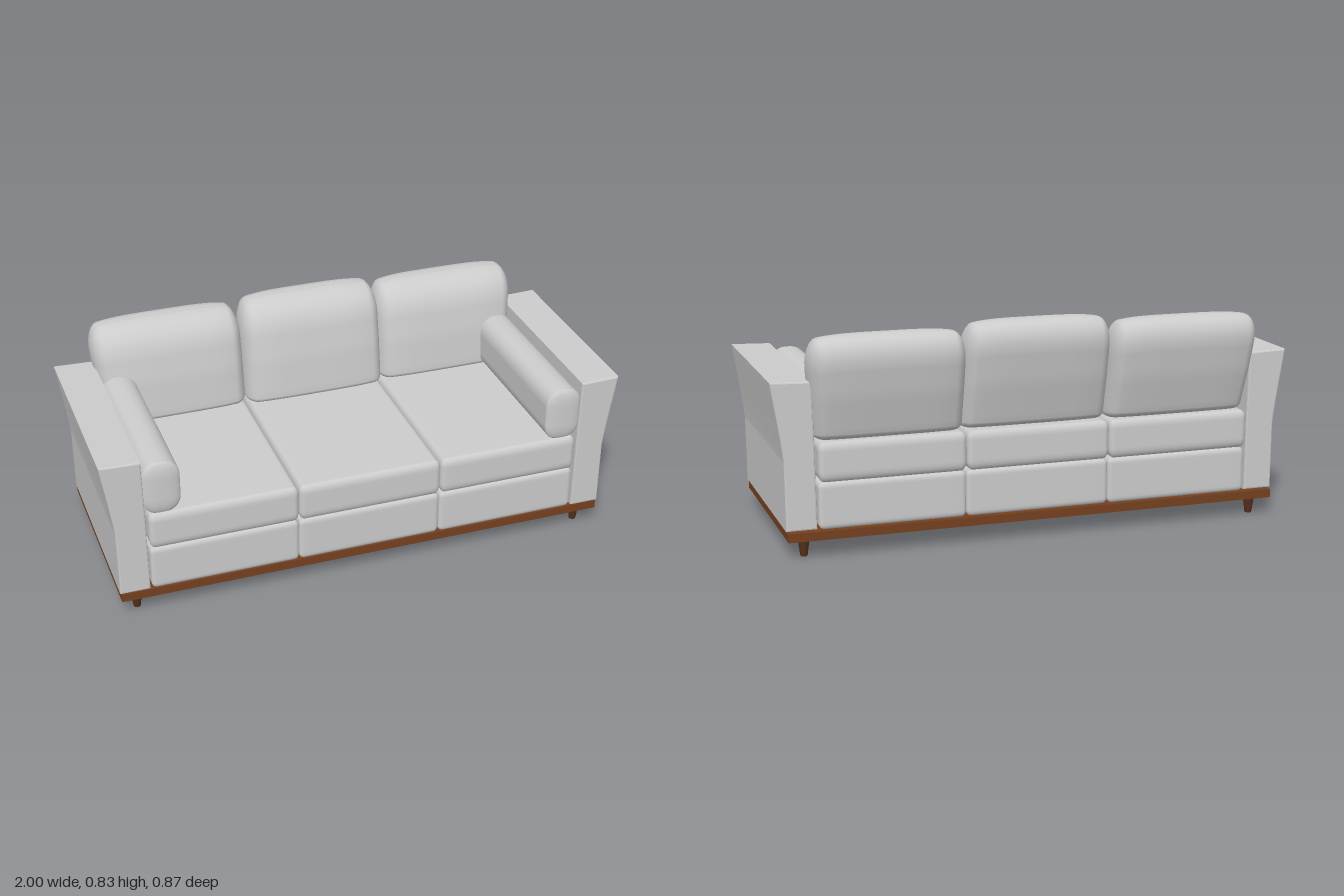
import * as THREE from 'three';
import { mergeVertices } from 'three/addons/utils/BufferGeometryUtils.js';

const fabric = new THREE.MeshStandardMaterial({ color: 0xcccccc });
const wood = new THREE.MeshStandardMaterial({ color: 0x74401f });
const darkWood = new THREE.MeshStandardMaterial({ color: 0x55301a });

// Soft box with elliptical edge radii r = [x, bottom y, top y, z]; shape(v) may bend it further.
function cushion(name, w, h, d, r, shape) {
  const n = 20;
  const geo = new THREE.BoxGeometry(2, 2, 2, n, n, n);
  geo.deleteAttribute('uv');
  geo.deleteAttribute('normal');
  const pos = geo.attributes.position;
  const half = [w / 2, h / 2, d / 2];
  const v = new THREE.Vector3();
  for (let i = 0; i < pos.count; i++) {
    v.fromBufferAttribute(pos, i);
    const radius = [r[0], v.y < 0 ? r[1] : r[2], r[3]];
    const out = new THREE.Vector3();
    const core = new THREE.Vector3();
    for (let k = 0; k < 3; k++) {
      // outer 30% of the grid on each side forms the rounded edge
      const c = v.getComponent(k), a = Math.abs(c), s = Math.sign(c);
      const inner = half[k] - radius[k];
      core.setComponent(k, s * inner * Math.min(a / 0.7, 1));
      out.setComponent(k, s * Math.tan(Math.max(a - 0.7, 0) / 0.3 * Math.PI / 4));
    }
    out.normalize();
    v.set(core.x + out.x * radius[0], core.y + out.y * radius[1], core.z + out.z * radius[2]);
    if (shape) shape(v);
    pos.setXYZ(i, v.x, v.y, v.z);
  }
  const merged = mergeVertices(geo, 1e-5);
  merged.computeVertexNormals();
  const mesh = new THREE.Mesh(merged, fabric);
  mesh.name = name;
  return mesh;
}

// Upright cushion, leaning back, plump in the middle; outer ends flare with height.
function backCushion(x0, x1, top, zShift, side) {
  const bottom = 0.42, w = x1 - x0, h = top - bottom;
  const mesh = cushion('backCushion', w, h, 0.2, [0.045, 0.03, 0.11, 0.085], (v) => {
    const u = (2 * v.x) / w;
    const t = v.y / h + 0.5;
    v.z *= (1 - 0.22 * u ** 4) * (0.84 + 0.16 * Math.min(1, t / 0.45));
    v.z -= 0.19 * t * h;
    v.y -= 0.02 * u ** 4 * t;
    v.x += side * 0.035 * t * Math.max(0, side * u);
  });
  mesh.position.set((x0 + x1) / 2, bottom + h / 2, -0.278 + zShift);
  return mesh;
}

// Arm section flaring outward at the top, run from back to front.
function arm(side) {
  const b = 0.006;
  const s = new THREE.Shape();
  s.moveTo(0.842 + b, 0.105 + b);
  s.lineTo(0.955 - b, 0.105 + b);
  s.lineTo(0.957 - b, 0.36);
  s.quadraticCurveTo(0.962 - b, 0.42, 1 - b, 0.652 - b);
  s.lineTo(0.85 + b, 0.647 - b);
  s.lineTo(0.845 + b, 0.4);
  s.closePath();
  const geo = new THREE.ExtrudeGeometry(s, {
    depth: 0.78 - 2 * b, bevelSize: b, bevelThickness: b, bevelSegments: 2, curveSegments: 8,
  });
  geo.translate(0, 0, -0.36 + b);
  if (side < 0) geo.rotateY(Math.PI).translate(0, 0, 0.06);
  const mesh = new THREE.Mesh(geo, fabric);
  mesh.name = side > 0 ? 'leftArm' : 'rightArm';
  return mesh;
}

export function createModel() {
  const sofa = new THREE.Group();
  sofa.name = 'sofa';

  // wooden plinth
  const plinth = new THREE.Mesh(new THREE.BoxGeometry(1.9, 0.032, 0.787), wood);
  plinth.name = 'plinth';
  plinth.position.set(0, 0.084, 0.0225);
  sofa.add(plinth);

  // tapered legs
  const legGeo = new THREE.CylinderGeometry(0.023, 0.013, 0.072, 16);
  for (const x of [-0.885, 0.885]) {
    for (const z of [0.36, -0.315]) {
      const leg = new THREE.Mesh(legGeo, darkWood);
      leg.name = 'leg';
      leg.position.set(x, 0.036, z);
      sofa.add(leg);
    }
  }

  // three bays of base panels and seat cushions
  for (const [x0, x1] of [[-0.835, -0.273], [-0.271, 0.283], [0.285, 0.835]]) {
    const w = x1 - x0, x = (x0 + x1) / 2;
    const base = cushion('basePanel', w, 0.172, 0.784, [0.018, 0.02, 0.02, 0.012]);
    base.position.set(x, 0.189, 0.028);
    const seat = cushion('seatCushion', w, 0.147, 0.81, [0.022, 0.035, 0.03, 0.02]);
    seat.position.set(x, 0.3525, 0.025);
    sofa.add(base, seat);
  }

  // back cushions
  sofa.add(
    backCushion(-0.835, -0.272, 0.81, -0.004, -1),
    backCushion(-0.275, 0.292, 0.83, 0.012, 0),
    backCushion(0.285, 0.84, 0.81, -0.004, 1),
  );

  // arms with a bolster along each inner face
  for (const side of [-1, 1]) {
    sofa.add(arm(side));
    const bolster = cushion('bolster', 0.14, 0.212, 0.675, [0.06, 0.06, 0.06, 0.018]);
    bolster.position.set(side * 0.78, 0.525, 0.0875);
    sofa.add(bolster);
  }
  return sofa;
}
